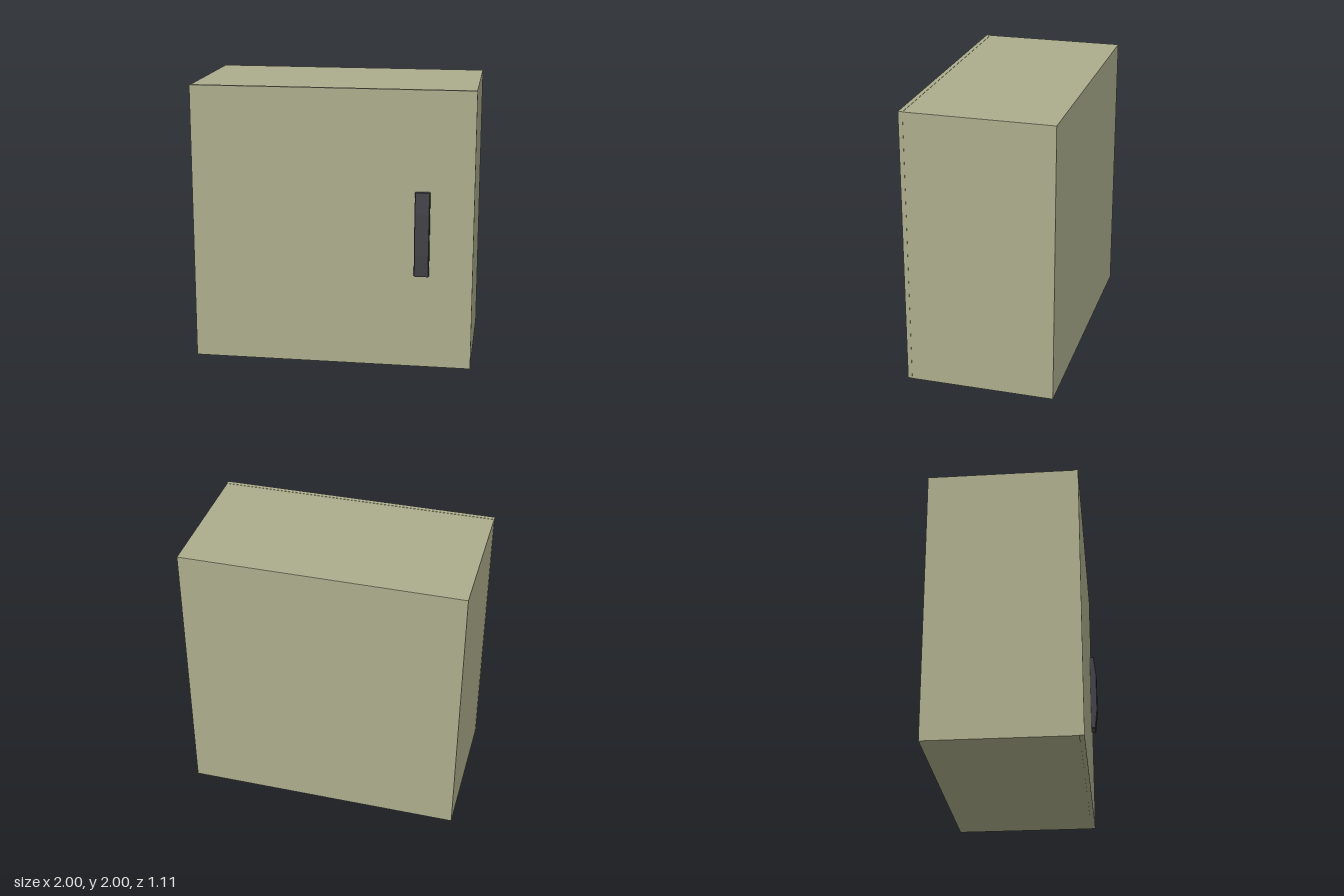
import * as THREE from 'three';

const paint = new THREE.MeshStandardMaterial({ color: 0xacad8c });
paint.name = 'olive grey paint';
const plastic = new THREE.MeshStandardMaterial({ color: 0x424146 });
plastic.name = 'dark plastic';

// Box given by its lowest and highest corners
function box(name, min, max, material) {
  const size = max.map((v, i) => v - min[i]);
  const mesh = new THREE.Mesh(new THREE.BoxGeometry(...size), material);
  mesh.position.set(...max.map((v, i) => (v + min[i]) / 2));
  mesh.name = name;
  return mesh;
}

// Handle: side profile in (z, y) with tapered ends, extruded across x
function createHandle() {
  const bevel = 0.004;
  const back = 0.5, end = 0.54, crown = 0.557;
  const shape = new THREE.Shape([
    [back, 0.685], [end, 0.685], [crown, 0.84],
    [crown, 1.135], [end, 1.29], [back, 1.29],
  ].map(([z, y]) => new THREE.Vector2(z, y)));
  const geometry = new THREE.ExtrudeGeometry(shape, {
    depth: 0.105 - 2 * bevel,
    bevelEnabled: true, bevelSegments: 1,
    bevelSize: bevel, bevelThickness: bevel, bevelOffset: -bevel,
  });
  geometry.rotateY(-Math.PI / 2);
  const mesh = new THREE.Mesh(geometry, plastic);
  mesh.position.x = 0.695 - bevel;
  mesh.name = 'handle';
  return mesh;
}

export function createModel() {
  const model = new THREE.Group();
  model.name = 'wall cabinet';
  model.add(
    box('cabinetBody', [-0.998, 0, -0.557], [0.998, 1.998, 0.475], paint),
    box('door', [-1, 0.003, 0.475], [1, 2, 0.506], paint),
    createHandle(),
  );
  return model;
}
